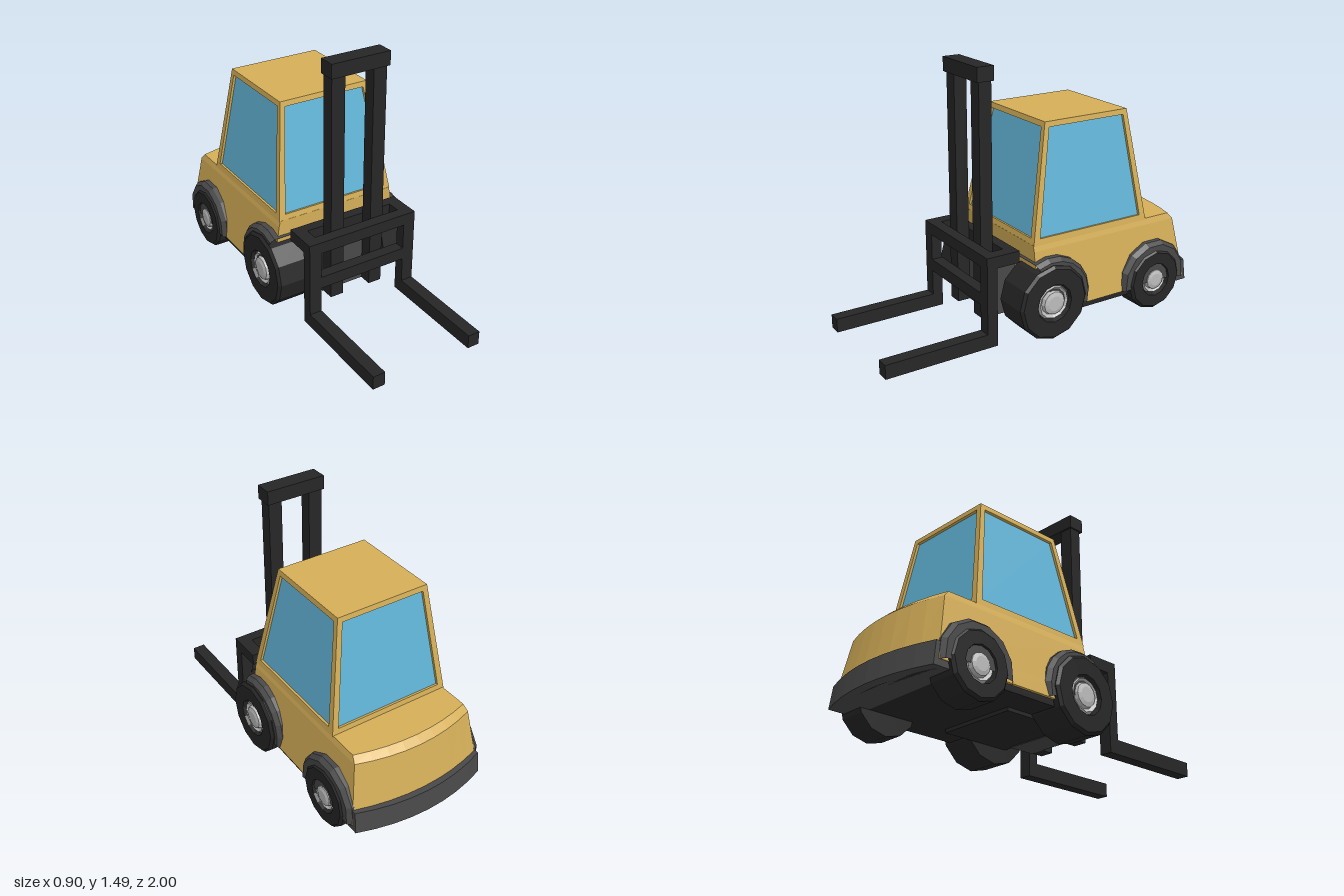
import * as THREE from 'three';

const paint = (color, side = THREE.FrontSide) =>
  new THREE.MeshStandardMaterial({ color, flatShading: true, side });
const yellow = paint(0xd4ae58), black = paint(0x262626), grey = paint(0x484848);
const greyOpen = paint(0x484848, THREE.DoubleSide), glass = paint(0x62b5d8), silver = paint(0xbbbbbb);

function add(parent, name, geometry, material) {
  const mesh = new THREE.Mesh(geometry, material);
  mesh.name = name;
  parent.add(mesh);
  return mesh;
}

// Box given by its limits on each axis
function box(parent, name, material, [x0, x1], [y0, y1], [z0, z1]) {
  const g = new THREE.BoxGeometry(x1 - x0, y1 - y0, z1 - z0);
  g.translate((x0 + x1) / 2, (y0 + y1) / 2, (z0 + z1) / 2);
  return add(parent, name, g, material);
}

// Flat-shaded geometry from quads of Vector3 corners
function fromQuads(quads) {
  const pts = quads.flatMap(([a, b, c, d]) => [a, b, c, a, c, d]);
  const g = new THREE.BufferGeometry().setFromPoints(pts);
  g.computeVertexNormals();
  return g;
}

// Plan outline at height y: straight front and sides, bowed back
function outline(y, halfWidth, front, corner, back) {
  const pts = [new THREE.Vector3(halfWidth, y, front)];
  const n = 8;
  for (let i = 0; i <= n; i++) {
    const t = 1 - (2 * i) / n;
    pts.push(new THREE.Vector3(halfWidth * t, y, back + (corner - back) * t * t));
  }
  pts.push(new THREE.Vector3(-halfWidth, y, front));
  return pts;
}

// Solid through stacked outlines, bottom to top
function loft(rings) {
  const quads = [], n = rings[0].length;
  for (let r = 0; r < rings.length - 1; r++)
    for (let i = 0; i < n; i++) {
      const j = (i + 1) % n;
      quads.push([rings[r][i], rings[r][j], rings[r + 1][j], rings[r + 1][i]]);
    }
  const bottom = rings[0], top = rings[rings.length - 1];
  for (let i = 0; i < n / 2 - 1; i++) {
    const k = n - 1 - i;
    quads.push([top[i], top[i + 1], top[k - 1], top[k]]);
    quads.push([bottom[k], bottom[k - 1], bottom[i + 1], bottom[i]]);
  }
  return fromQuads(quads);
}

// Half width of the sloping body sides
const widthAt = y => 0.275 + 0.138 * (1.175 - y);

// Cab: tapered frame with a recessed window on every side
function addCab(parent) {
  const y0 = 0.53, y1 = 1.175, w0 = widthAt(y0), w1 = 0.275;
  const low = [[-w0, 0.125], [w0, 0.125], [w0, -0.64], [-w0, -0.64]].map(([x, z]) => new THREE.Vector3(x, y0, z));
  const high = [[-w1, 0], [w1, 0], [w1, -0.545], [-w1, -0.545]].map(([x, z]) => new THREE.Vector3(x, y1, z));
  const frame = [high.slice()], panes = [];
  for (let s = 0; s < 4; s++) {
    const e = (s + 1) % 4;
    const outer = [low[s], low[e], high[e], high[s]];
    const at = (u, v) => low[s].clone().lerp(low[e], u).lerp(high[s].clone().lerp(high[e], u), v);
    const inner = [at(0.05, 0.055), at(0.95, 0.055), at(0.945, 0.953), at(0.055, 0.953)];
    const normal = low[e].clone().sub(low[s]).cross(high[s].clone().sub(low[s])).normalize();
    const pane = inner.map(p => p.clone().addScaledVector(normal, -0.015));
    for (let i = 0; i < 4; i++) {
      const j = (i + 1) % 4;
      frame.push([outer[i], outer[j], inner[j], inner[i]], [inner[i], inner[j], pane[j], pane[i]]);
    }
    panes.push(pane);
  }
  add(parent, 'cabFrame', fromQuads(frame), yellow);
  add(parent, 'cabWindows', fromQuads(panes), glass);
}

// Revolved part whose axis lies along x
function turned(points, segments, start = 0, length = Math.PI * 2) {
  const g = new THREE.LatheGeometry(points.map(p => new THREE.Vector2(...p)), segments, start, length);
  return g.rotateZ(-Math.PI / 2);
}

function addWheel(parent, name, side, r, hub, inner, outer, z) {
  const wheel = new THREE.Group();
  wheel.name = name;
  add(wheel, 'tyre', turned([[0, inner], [r, inner], [r, outer - 0.015], [r - 0.015, outer],
    [hub + 0.01, outer], [hub, outer - 0.03]], 12), black);
  add(wheel, 'hub', turned([[hub, outer - 0.03], [hub * 0.9, outer - 0.01], [hub * 0.72, outer - 0.025],
    [hub * 0.65, outer - 0.005], [hub * 0.42, outer + 0.002], [0, outer + 0.002]], 12), silver);
  wheel.position.set(0, r, z);
  if (side < 0) wheel.rotation.y = Math.PI;
  parent.add(wheel);
}

// Pair of wheel arches as one bar through the body, angles counted from the front upwards
function addArches(parent, name, r, halfWidth, y, z, from, to) {
  const rad = Math.PI / 180, w = halfWidth;
  const g = turned([[0, -w], [r - 0.02, -w], [r, -w + 0.025], [r, w - 0.025], [r - 0.02, w], [0, w]],
    7, -to * rad, (to - from) * rad);
  add(parent, name, g, greyOpen).position.set(0, y, z);
}

export function createModel() {
  const model = new THREE.Group();
  model.name = 'forklift';

  // Body with rounded-off hood, underside and rear bumper
  add(model, 'body', loft([
    outline(0.15, widthAt(0.15), 0.12, -0.895, -0.965),
    outline(0.24, widthAt(0.24), 0.125, -0.885, -0.95),
    outline(0.5, widthAt(0.5), 0.125, -0.84, -0.905),
    outline(0.535, widthAt(0.535) - 0.005, 0.125, -0.81, -0.865),
  ]), yellow);
  add(model, 'basePlate', loft([
    outline(0.115, 0.4, 0.12, -0.88, -0.95),
    outline(0.155, 0.4, 0.12, -0.88, -0.95),
  ]), black);
  add(model, 'rearBumper', loft([
    outline(0.115, 0.412, -0.78, -0.925, -1),
    outline(0.24, 0.408, -0.78, -0.91, -0.985),
  ]), grey);
  addCab(model);

  // Underside panel, front axle and mast mount
  box(model, 'underPanel', black, [-0.24, 0.24], [0.095, 0.13], [-0.31, 0.12]);
  box(model, 'frontAxle', grey, [-0.25, 0.25], [0.11, 0.27], [-0.1, 0.135]);
  box(model, 'mastMount', grey, [-0.175, 0.175], [0.09, 0.45], [0.1, 0.26]);

  // Wheels and arches
  for (const side of [-1, 1]) {
    const name = side > 0 ? 'Left' : 'Right';
    addWheel(model, 'front' + name + 'Wheel', side, 0.215, 0.1, 0.24, 0.45, 0.043);
    addWheel(model, 'rear' + name + 'Wheel', side, 0.18, 0.088, 0.27, 0.445, -0.668);
  }
  addArches(model, 'frontArches', 0.25, 0.43, 0.215, 0.035, 65, 195);
  addArches(model, 'rearArches', 0.23, 0.435, 0.18, -0.668, -8, 188);

  // Mast
  for (const s of [-1, 1]) {
    const x = [s * 0.127 - 0.04, s * 0.127 + 0.04];
    box(model, 'mastPost', black, x, [0.09, 1.41], [0.26, 0.335]);
  }
  box(model, 'mastTopBar', black, [-0.177, 0.177], [1.405, 1.485], [0.25, 0.35]);

  // Fork carriage
  box(model, 'carriageTopBar', black, [-0.34, 0.34], [0.45, 0.517], [0.335, 0.4]);
  box(model, 'carriageLowerBar', black, [-0.28, 0.28], [0.228, 0.298], [0.335, 0.4]);
  box(model, 'carriageBackBar', black, [-0.34, 0.34], [0.45, 0.517], [0.2, 0.26]);
  for (const s of [-1, 1]) {
    const x = [s * 0.305 - 0.036, s * 0.305 + 0.036];
    box(model, 'carriageSideBar', black, x, [0.45, 0.517], [0.2, 0.4]);
    box(model, 'carriageUpright', black, x, [0, 0.517], [0.338, 0.4]);
    box(model, 'fork', black, x, [0, 0.08], [0.338, 1]);
  }
  return model;
}
